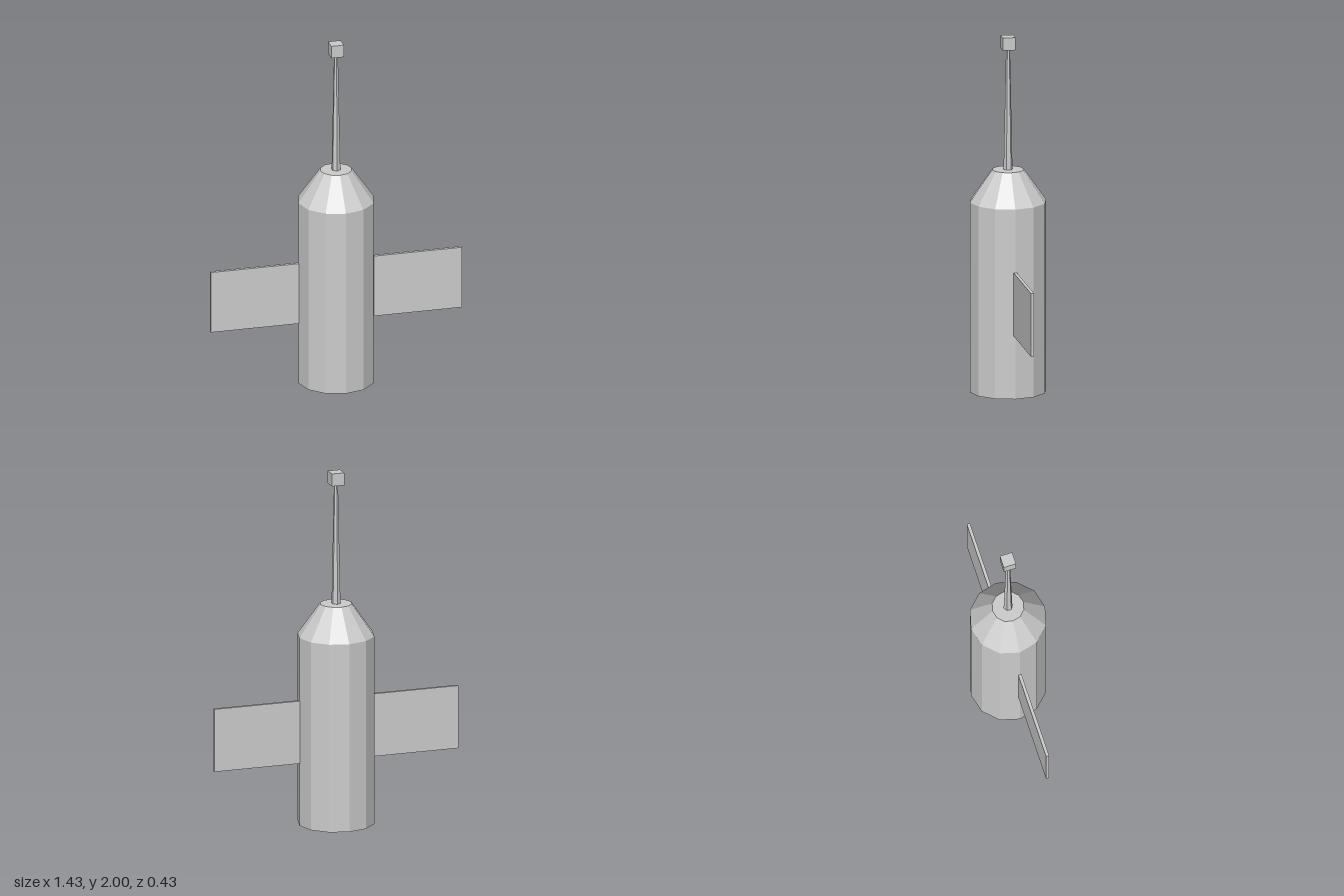
import * as THREE from 'three';

export function createModel() {
  const model = new THREE.Group();
  const grey = new THREE.MeshStandardMaterial({ color: 0xcccccc });
  grey.name = 'grey';
  grey.flatShading = true;

  const add = (name, geometry, x, y) => {
    const mesh = new THREE.Mesh(geometry, grey);
    mesh.name = name;
    mesh.position.set(x, y, 0);
    model.add(mesh);
  };

  // Twelve-sided hull with a truncated cone on top
  add('body', new THREE.CylinderGeometry(0.214, 0.214, 1.071, 12), 0, 0.5355);
  add('nose', new THREE.CylinderGeometry(0.089, 0.214, 0.179, 12), 0, 1.1605);

  // Tapered antenna with a cube at its tip
  add('antennaMast', new THREE.CylinderGeometry(0.0107, 0.025, 0.714, 6), 0, 1.607);
  add('antennaTip', new THREE.BoxGeometry(0.071, 0.071, 0.071), 0, 1.9645);

  // Flat side panels
  for (const [name, side] of [['leftPanel', 1], ['rightPanel', -1]]) {
    add(name, new THREE.BoxGeometry(0.5, 0.357, 0.018), side * 0.464, 0.5355);
  }
  return model;
}
